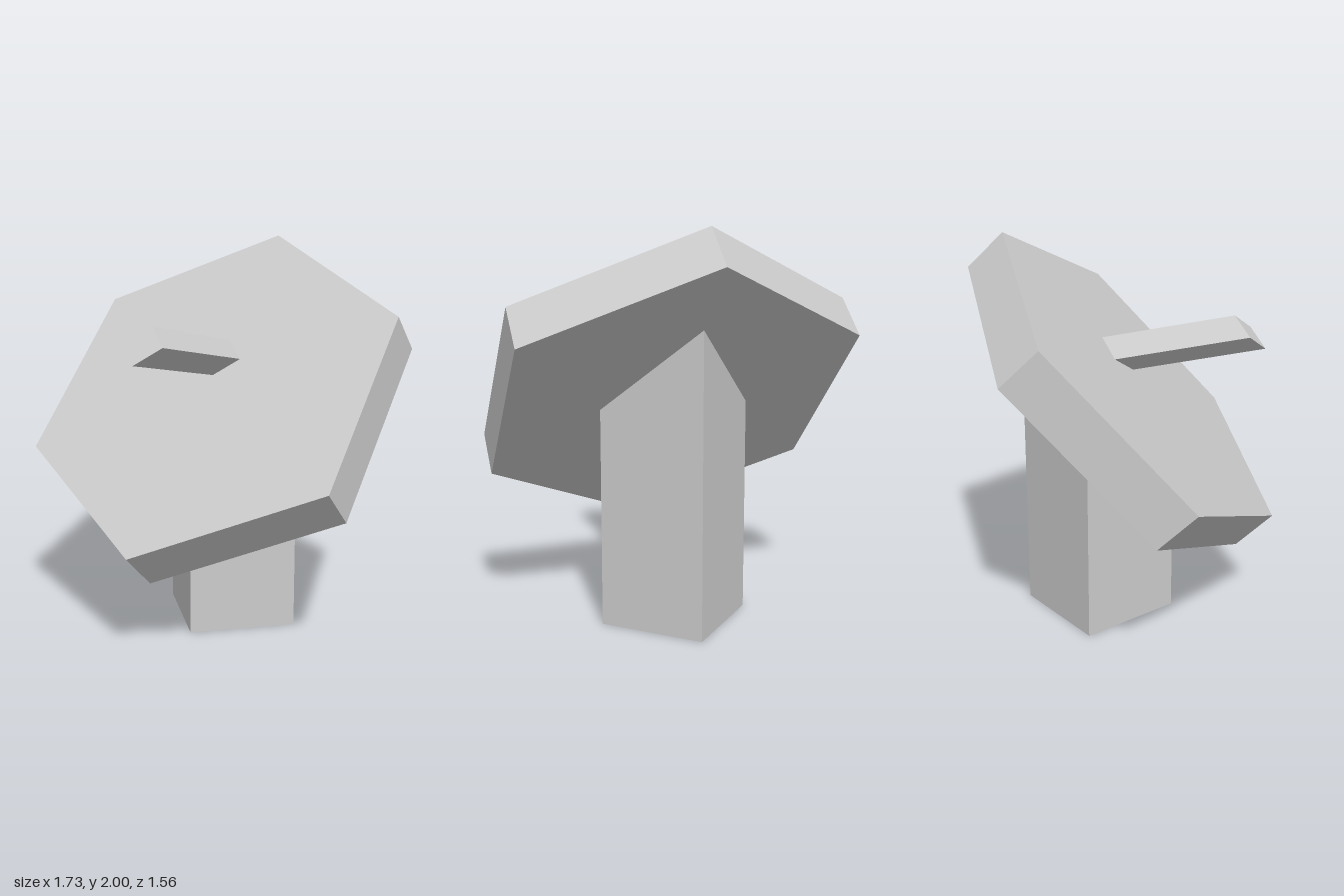
import * as THREE from 'three';

const material = new THREE.MeshStandardMaterial({ color: 0xcccccc, flatShading: true });

// Upright prism standing on y = 0, with one corner towards +z; rule(v) may move its vertices
function prism(name, radius, height, sides, rule) {
  const indexed = new THREE.CylinderGeometry(radius, radius, height, sides);
  indexed.translate(0, height / 2, 0);
  const geometry = indexed.toNonIndexed();
  const pos = geometry.attributes.position;
  const v = new THREE.Vector3();
  for (let i = 0; rule && i < pos.count; i++) {
    rule(v.fromBufferAttribute(pos, i));
    pos.setXYZ(i, v.x, v.y, v.z);
  }
  geometry.computeVertexNormals();
  const mesh = new THREE.Mesh(geometry, material);
  mesh.name = name;
  return mesh;
}

export function createModel() {
  const model = new THREE.Group();
  model.name = 'sundial';

  // Square post, its top sloping down to the front under the dial
  const post = prism('post', 0.39, 1, 4, (v) => {
    if (v.y > 0.5) v.y = 1.11 - v.z * (v.z < 0 ? 1.064 : 0.86);
  });
  post.position.z = -0.13;
  model.add(post);

  // Tilted head: hexagonal dial with its pointer
  const head = new THREE.Group();
  head.name = 'head';
  head.position.y = 1.1875;
  head.rotation.x = 0.808;
  model.add(head);

  const dial = prism('dial', 1, 0.252, 6);
  dial.position.y = -0.126;
  head.add(dial);

  // Pointer leans forward while its tip stays parallel to the dial
  const pointer = prism('pointer', 0.113, 0.692, 4, (v) => {
    v.z += 0.637 * (v.y - 0.126) - 0.174;
  });
  head.add(pointer);

  return model;
}
